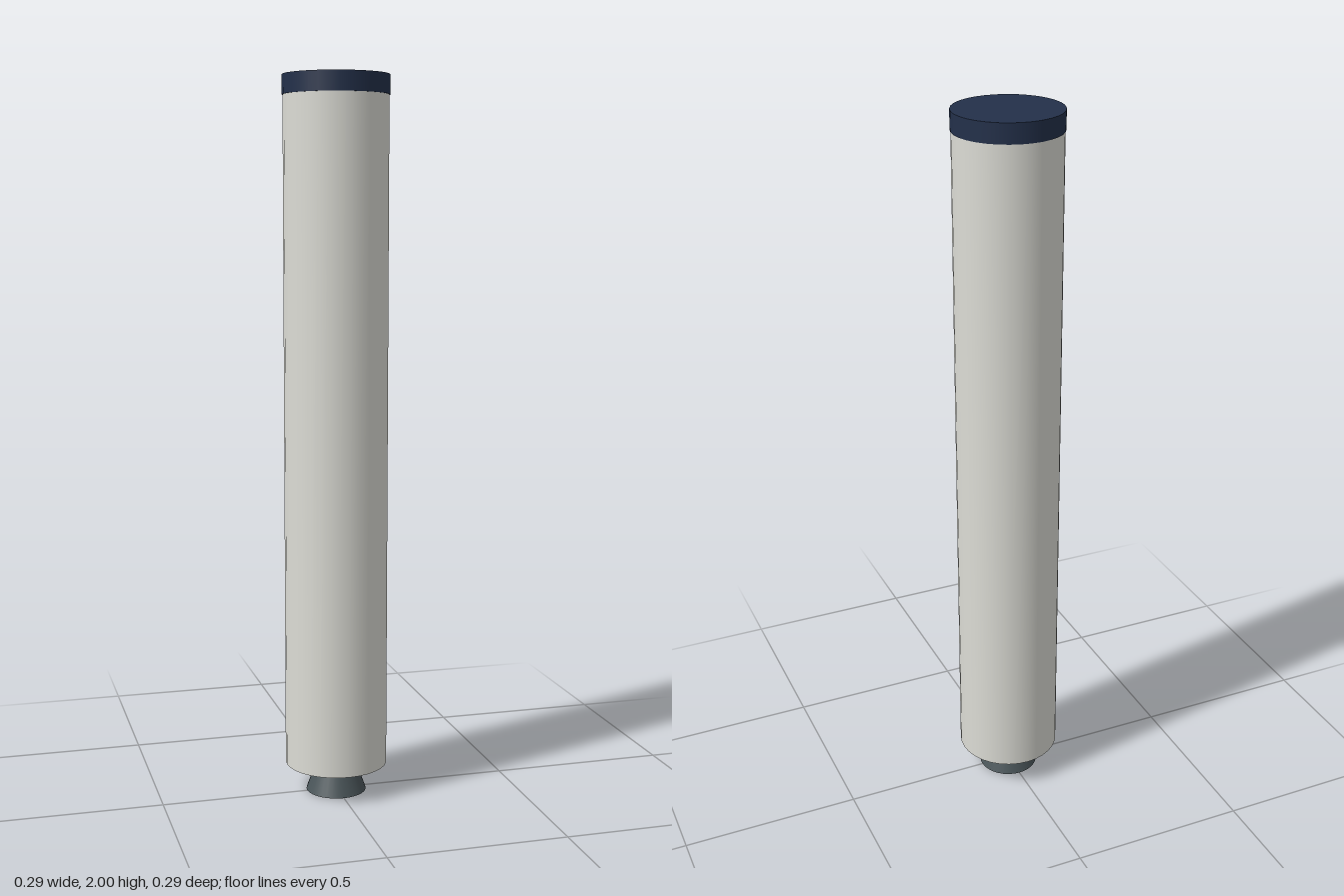
import * as THREE from 'three';

const material = (name, color) => {
  const m = new THREE.MeshStandardMaterial({ color });
  m.name = name;
  return m;
};

export function createModel() {
  const group = new THREE.Group();
  group.name = 'rocketStage';

  const white = material('warm white', 0xdcdcd5);
  const navy = material('dark navy', 0x23304a);
  const gray = material('slate gray', 0x4a5559);

  // Round section between two heights
  const section = (name, rTop, rBottom, y0, y1, mat) => {
    const mesh = new THREE.Mesh(new THREE.CylinderGeometry(rTop, rBottom, y1 - y0, 32), mat);
    mesh.name = name;
    mesh.position.y = (y0 + y1) / 2;
    group.add(mesh);
  };

  section('engineNozzle', 0.055, 0.085, 0, 0.083, gray);
  section('tankBody', 0.144, 0.144, 0.083, 1.947, white);
  section('topBand', 0.146, 0.146, 1.947, 2, navy);

  return group;
}
